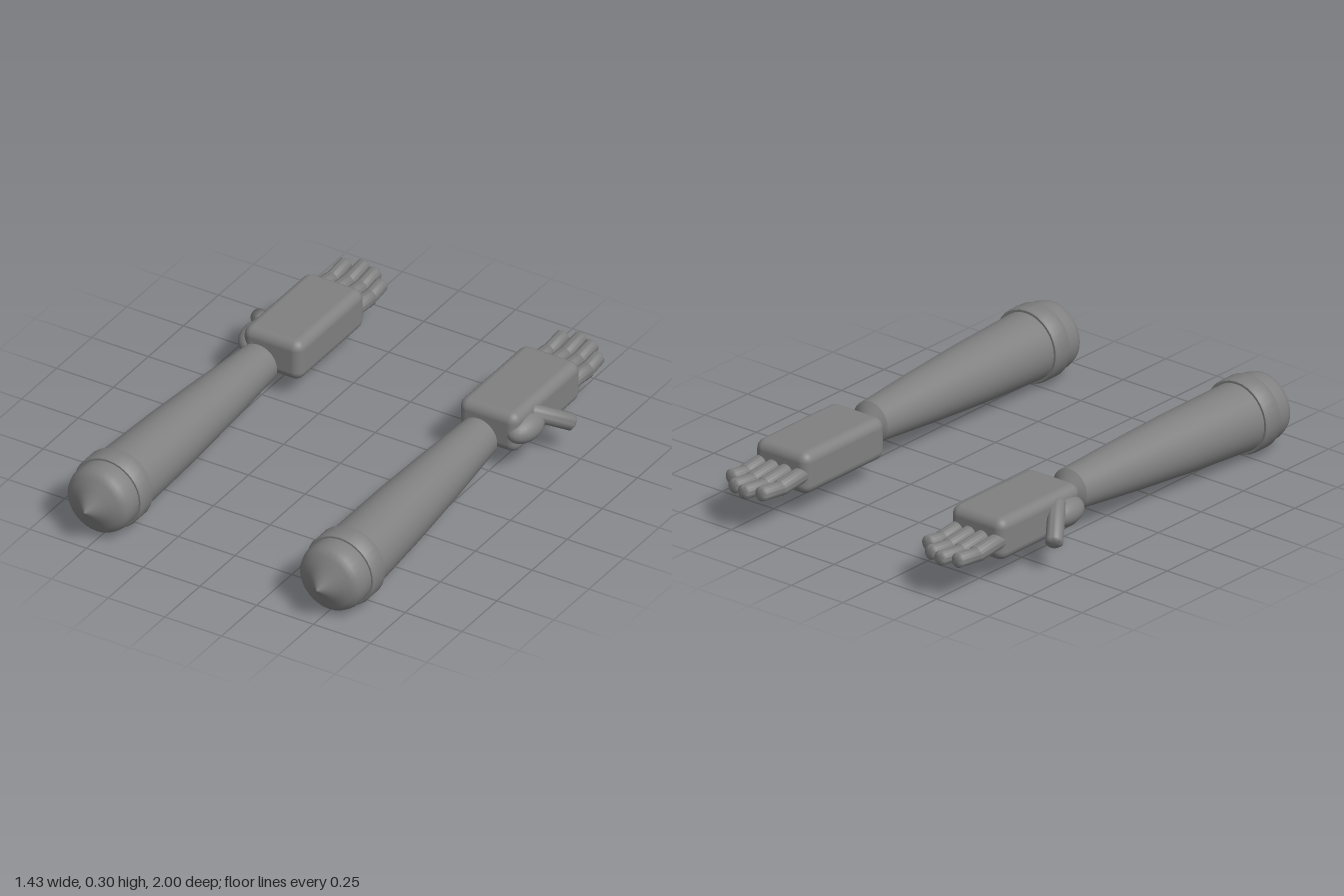
import * as THREE from 'three';
import { toCreasedNormals } from 'three/addons/utils/BufferGeometryUtils.js';
import { RoundedBoxGeometry } from 'three/addons/geometries/RoundedBoxGeometry.js';

const grey = new THREE.MeshStandardMaterial({ color: 0x808080 });
grey.name = 'plain grey';

function part(name, geometry, parent) {
  const mesh = new THREE.Mesh(geometry, grey);
  mesh.name = name;
  parent.add(mesh);
  return mesh;
}

// Turned shape along z from [radius, z] pairs
function turned(profile) {
  const points = profile.map(([r, z]) => new THREE.Vector2(r, z));
  return new THREE.LatheGeometry(points, 32).rotateX(Math.PI / 2);
}

// Rod with slightly bevelled ends between two points
function rod(name, from, to, radius, parent) {
  const a = new THREE.Vector3(...from);
  const b = new THREE.Vector3(...to);
  const h = a.distanceTo(b) / 2;
  const bevel = 0.008;
  const profile = [[0, -h], [radius - bevel, -h], [radius, bevel - h],
    [radius, h - bevel], [radius - bevel, h], [0, h]];
  const mesh = part(name, toCreasedNormals(turned(profile), 0.9), parent);
  mesh.position.copy(a).add(b).multiplyScalar(0.5);
  mesh.quaternion.setFromUnitVectors(new THREE.Vector3(0, 0, 1), b.sub(a).normalize());
}

function makeArm(side) {
  const arm = new THREE.Group();
  arm.name = side > 0 ? 'leftArm' : 'rightArm';

  // Tapered forearm with pointed ends, its axis drifting from wrist to elbow
  const forearm = turned([[0, -0.265], [0.083, -0.2], [0.105, 0.1], [0.123, 0.4],
    [0.136, 0.74], [0.138, 0.84], [0.138, 0.88], [0.13, 0.905], [0.107, 0.925],
    [0.07, 0.938], [0, 0.998]]);
  const p = forearm.attributes.position;
  for (let i = 0; i < p.count; i++) {
    const t = THREE.MathUtils.clamp((p.getZ(i) + 0.2) / 0.94, 0, 1);
    p.setX(i, p.getX(i) + side * (0.485 + 0.027 * t));
    p.setY(i, p.getY(i) + 0.172 - 0.022 * t);
  }
  part('forearm', toCreasedNormals(forearm, 0.6), arm);

  // Raised elbow cuff
  const cuff = turned([[0.125, 0.745], [0.145, 0.745], [0.15, 0.752],
    [0.15, 0.823], [0.145, 0.83], [0.125, 0.83]]);
  part('elbowCuff', toCreasedNormals(cuff, 0.9), arm).position.set(side * 0.512, 0.15, 0);

  // Palm
  const palm = part('palm', new RoundedBoxGeometry(0.26, 0.172, 0.475, 4, 0.04), arm);
  palm.position.set(side * 0.476, 0.171, -0.508);

  // Thumb: fleshy base and angled rod
  const base = part('thumbBase', new THREE.SphereGeometry(1, 24, 16), arm);
  base.scale.set(0.065, 0.057, 0.1);
  base.position.set(side * 0.588, 0.167, -0.365);
  rod('thumb', [side * 0.585, 0.215, -0.395], [side * 0.69, 0.122, -0.54], 0.034, arm);

  // Four two-piece fingers: [knuckle z, tip z]
  [[-0.865, -0.972], [-0.88, -0.998], [-0.873, -0.978], [-0.835, -0.918]].forEach(([knuckle, tip], i) => {
    const x = side * 0.478 + (i - 1.5) * 0.063;
    rod('fingerBase', [x, 0.168, -0.71], [x, 0.155, knuckle], 0.032, arm);
    rod('fingerTip', [x, 0.15, knuckle + 0.04], [x, 0.168, tip], 0.029, arm);
  });
  return arm;
}

export function createModel() {
  const model = new THREE.Group();
  model.name = 'pairOfArms';
  for (const side of [-1, 1]) model.add(makeArm(side));
  return model;
}
